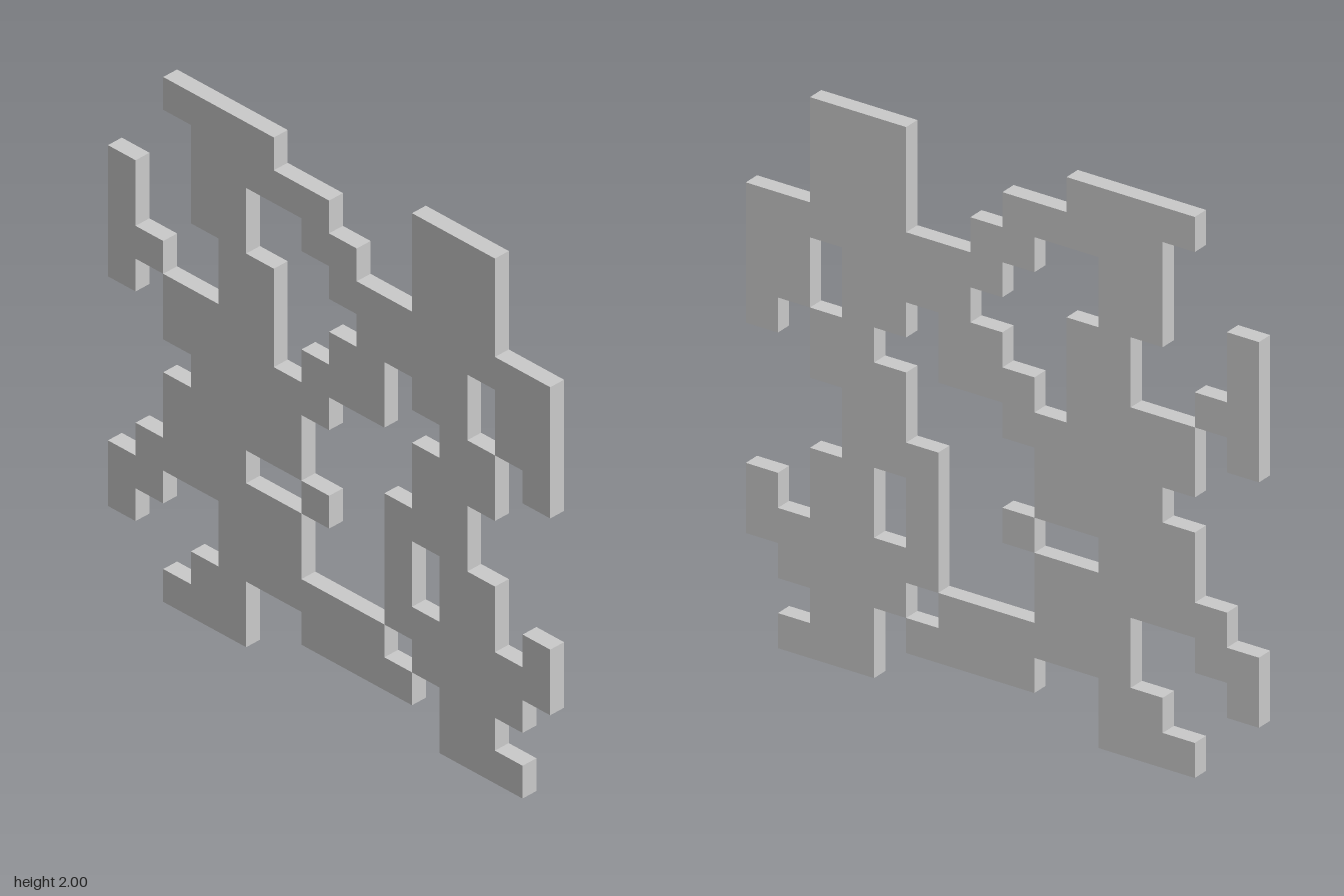
import * as THREE from 'three';
import { mergeGeometries } from 'three/addons/utils/BufferGeometryUtils.js';

// Panel pattern, top row first; '#' is solid
const ROWS = [
  '..####.....###..',
  '...#####...###..',
  '...##..##..###..',
  '#..##...########',
  '#...##...####.##',
  '##..##..##.##.##',
  '#.####.###..##.#',
  '..######...###..',
  '...####....##...',
  '..#####...###...',
  '..###..#..#.##..',
  '.######...#.##.#',
  '##..###...######',
  '#...######.####.',
  '...##..####.##..',
  '..###.......###.',
];
const N = ROWS.length;
const CELL = 2 / N;
const DEPTH = CELL / 2;

const solid = (col, row) => ROWS[row]?.[col] === '#';

// Rim wall facing +x, turned about z to face each of the four neighbours
function wall(angle) {
  return new THREE.PlaneGeometry(DEPTH, CELL)
    .rotateY(Math.PI / 2)
    .translate(CELL / 2, 0, 0)
    .rotateZ(angle);
}

// Front, back and only the exposed rim walls of one cell
function cellFaces(col, row) {
  const faces = [
    new THREE.PlaneGeometry(CELL, CELL).translate(0, 0, DEPTH / 2),
    new THREE.PlaneGeometry(CELL, CELL).rotateY(Math.PI).translate(0, 0, -DEPTH / 2),
  ];
  [[1, 0], [0, -1], [-1, 0], [0, 1]].forEach(([dc, dr], i) => {
    if (!solid(col + dc, row + dr)) faces.push(wall(i * Math.PI / 2));
  });
  const x = (col + 0.5) * CELL - 1;
  const y = 2 - (row + 0.5) * CELL;
  return faces.map((face) => face.translate(x, y, 0));
}

export function createModel() {
  const group = new THREE.Group();
  group.name = 'pixelPanel';

  const faces = [];
  for (let row = 0; row < N; row++) {
    for (let col = 0; col < N; col++) {
      if (solid(col, row)) faces.push(...cellFaces(col, row));
    }
  }

  const material = new THREE.MeshStandardMaterial({ color: 0xcccccc, flatShading: true });
  const panel = new THREE.Mesh(mergeGeometries(faces), material);
  panel.name = 'panel';
  group.add(panel);
  return group;
}
